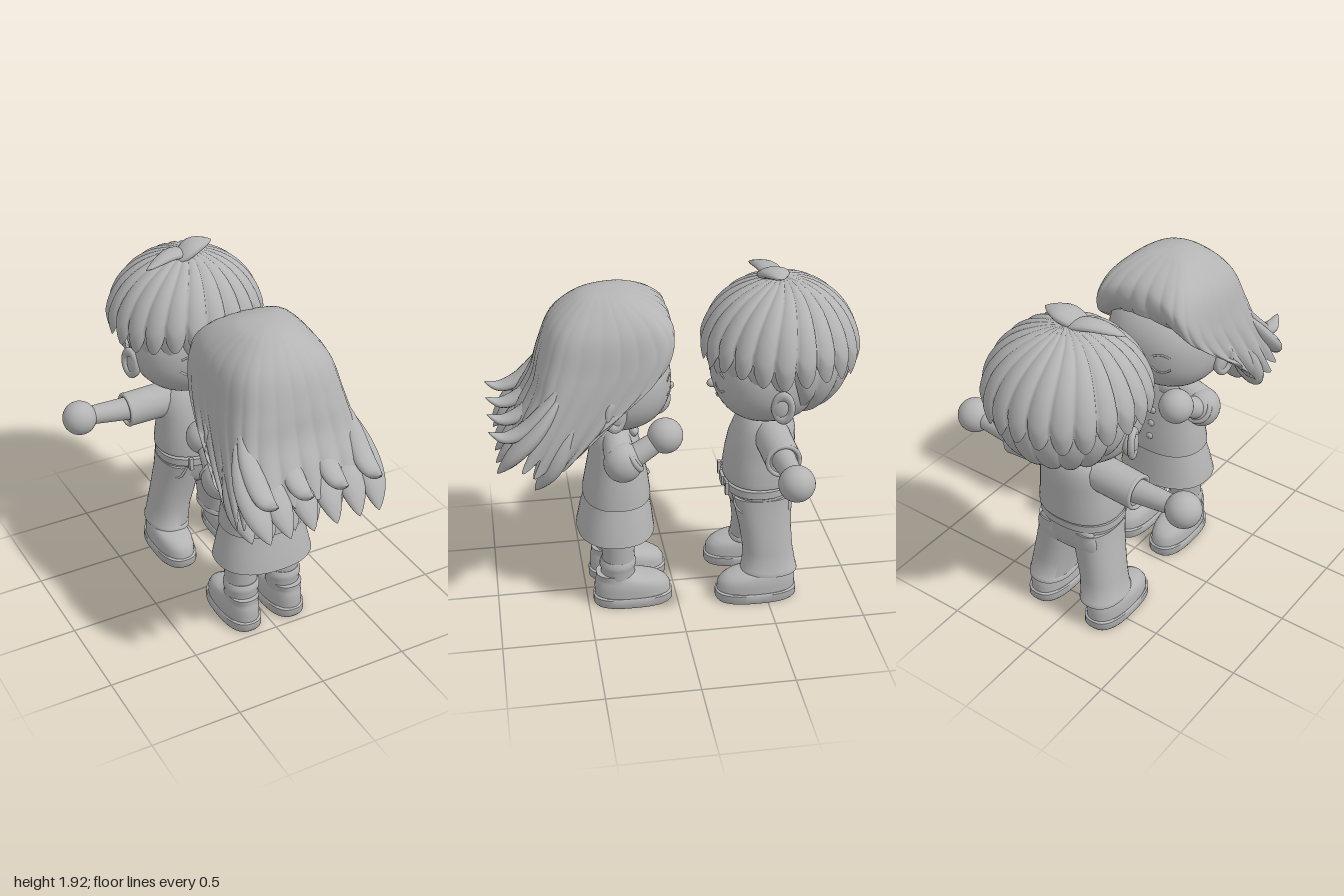
import * as THREE from 'three';
import { toCreasedNormals } from 'three/addons/utils/BufferGeometryUtils.js';

const V = (x, y, z) => new THREE.Vector3(x, y, z);
const clay = new THREE.MeshStandardMaterial({ color: 0xb4b4b4, side: THREE.DoubleSide });
clay.name = 'grey clay';

function add(parent, name, geo, pos = [0, 0, 0], scale = [1, 1, 1]) {
  const m = new THREE.Mesh(geo, clay);
  m.name = name;
  m.position.set(...pos);
  m.scale.set(...scale);
  parent.add(m);
  return m;
}

// Closed-loop surface: fn(u, v) with u around (0..1) and v along (0..1)
function grid(nu, nv, fn) {
  const pos = [], idx = [];
  for (let j = 0; j <= nv; j++)
    for (let i = 0; i < nu; i++) pos.push(...fn(i / nu, j / nv).toArray());
  for (let j = 0; j < nv; j++)
    for (let i = 0; i < nu; i++) {
      const a = j * nu + i, b = j * nu + (i + 1) % nu;
      idx.push(a, b, b + nu, a, b + nu, a + nu);
    }
  const g = new THREE.BufferGeometry();
  g.setAttribute('position', new THREE.Float32BufferAttribute(pos, 3));
  g.setIndex(idx);
  g.computeVertexNormals();
  return g;
}

// Catmull-Rom blend of four numbers
const cr = (a, b, c, d, t) =>
  b + 0.5 * t * (c - a + t * (2 * a - 5 * b + 4 * c - d + t * (3 * (b - c) + d - a)));

// Capped body from rounded sections [y, rx, rz, cx, cz]
function loft(rows, n = 2.3) {
  const first = rows[0], last = rows[rows.length - 1];
  const s = [[first[0], 0, 0, first[3], first[4]], ...rows, [last[0], 0, 0, last[3], last[4]]];
  return toCreasedNormals(grid(40, s.length - 1, (u, v) => {
    const [y, rx, rz, cx, cz] = s[Math.round(v * (s.length - 1))];
    const a = u * Math.PI * 2, x = Math.sin(a), z = Math.cos(a);
    const k = (Math.abs(x) ** n + Math.abs(z) ** n) ** (-1 / n);
    return V(cx + rx * x * k, y, cz + rz * z * k);
  }), 0.75);
}

// Flattened lock, pointed at both ends
function strand(points, w, h, side = V(1, 0, 0)) {
  const c = new THREE.CatmullRomCurve3(points.map(p => V(...p)));
  return grid(14, 20, (u, v) => {
    const n = c.getTangent(v).cross(side).normalize();
    const k = Math.max(0, Math.sin(Math.PI * v ** 0.85)) ** 0.75, a = u * Math.PI * 2;
    return c.getPoint(v).addScaledVector(side, w * k * Math.cos(a)).addScaledVector(n, h * k * Math.sin(a));
  });
}

function limb(parent, name, a, b, ra, rb) {
  const d = V(...b).sub(V(...a));
  const m = add(parent, name, new THREE.CylinderGeometry(rb, ra, d.length(), 28));
  m.position.copy(V(...a)).addScaledVector(d, 0.5);
  m.quaternion.setFromUnitVectors(V(0, 1, 0), d.normalize());
}
const ball = (r = 1) => new THREE.SphereGeometry(r, 32, 24);

// Head facing +z with ears, closed eyes, brows, nose and mouth
function makeHead(parent, name, [rx, ry, rz], pos, turn) {
  const head = new THREE.Group(), n = 2.3;
  head.name = name;
  head.position.set(...pos);
  head.rotation.y = turn;
  parent.add(head);
  add(head, 'face', grid(48, 32, (u, v) => {
    const a = u * Math.PI * 2, p = Math.PI * (1 - v);
    const d = V(Math.sin(p) * Math.sin(a), Math.cos(p), Math.sin(p) * Math.cos(a));
    const k = (Math.abs(d.x) ** n + Math.abs(d.y) ** n + Math.abs(d.z) ** n) ** (-1 / n);
    return V(d.x * rx * k, d.y * ry * k, d.z * rz * k);
  }));
  const front = (x, y) => rz * Math.max(0, 1 - Math.abs(x / rx) ** n - Math.abs(y / ry) ** n) ** (1 / n);
  const arc = (x, y, w, sag) => new THREE.TubeGeometry(new THREE.CatmullRomCurve3(
    [-1, -0.5, 0, 0.5, 1].map(t => V(x + t * w, y + sag * t * t, front(x + t * w, y + sag * t * t) - 0.002))), 16, 0.006, 6);
  for (const s of [-1, 1]) {
    add(head, 'closedEye', arc(s * 0.14, -0.06, 0.05, 0.025));
    add(head, 'eyebrow', arc(s * 0.14, 0.05, 0.045, -0.015));
    add(head, 'ear', ball(), [s * (rx - 0.005), -0.075, -0.02], [0.035, 0.08, 0.055]);
    const rim = add(head, 'earRim', new THREE.TorusGeometry(0.045, 0.018, 12, 28), [s * (rx + 0.015), -0.07, -0.025], [1, 1.5, 1]);
    rim.rotation.y = Math.PI / 2 - s * 0.35;
  }
  add(head, 'nose', ball(), [0, -0.08, rz - 0.008], [0.026, 0.024, 0.032]);
  add(head, 'mouth', ball(), [0, -0.15, front(0, -0.15)], [0.022, 0.012, 0.01]);
}

const makeShoe = (x, back, dir, w, len) => {
  const row = (y, k, f, m) => [y, w * k, len * f, x, back + dir * m * len];
  return [
    loft([row(0, 1, 0.48, 0.5), row(0.012, 1.06, 0.5, 0.5), row(0.055, 1.06, 0.5, 0.5), row(0.062, 1, 0.48, 0.5)], 2.6),
    loft([row(0.055, 1, 0.48, 0.5), row(0.1, 1, 0.478, 0.495), row(0.13, 0.97, 0.455, 0.475), row(0.152, 0.91, 0.41, 0.44),
      row(0.166, 0.85, 0.34, 0.38), row(0.176, 0.82, 0.27, 0.31), row(0.2, 0.82, 0.23, 0.27)])];
};

// Domed hair with a slight swirl and pointed, uneven locks around the hem
function domeHair([rx, ry, rz], c, locks, hem, tip, groove) {
  return grid(locks * 12, 36, (u, v) => {
    const a = u * Math.PI * 2, t = 1 - v, b = a + 0.3 * v * v;
    const lobe = Math.abs(Math.cos(a * locks / 2)) ** 0.7;
    const p = Math.max(t, 0.001) * (hem(a) - tip * (1 - lobe) + 0.04 * Math.sin(a * 5 + 1));
    const k = 1 - groove * (1 - lobe) * Math.min(1, t * 1.3) - 0.04 * Math.max(0, t - 0.85) / 0.15;
    return V(c[0] + rx * k * Math.sin(p) * Math.sin(b), c[1] + ry * k * Math.cos(p), c[2] + rz * k * Math.sin(p) * Math.cos(b));
  });
}

function makeBoy() {
  const g = new THREE.Group();
  g.name = 'boy';
  makeHead(g, 'boyHead', [0.35, 0.265, 0.29], [0, 1.34, -0.5], 0);
  // Hair: upper layer, longer nape layer and crown tuft
  add(g, 'upperHair', domeHair([0.445, 0.41, 0.43], [0, 1.45, -0.575], 22, a => 1.69 - 0.05 * Math.cos(a), 0.26, 0.05));
  add(g, 'napeHair', domeHair([0.39, 0.36, 0.4], [0, 1.44, -0.575], 18,
    a => 1.76 + 1.05 * THREE.MathUtils.smoothstep(-Math.cos(a), -0.1, 0.55), 0.3, 0.045));
  add(g, 'napeFill', ball(), [0, 1.35, -0.62], [0.32, 0.25, 0.27]);
  add(g, 'tuftRight', strand([[0.06, 1.82, -0.56], [-0.1, 1.868, -0.52], [-0.28, 1.835, -0.46]], 0.06, 0.028, V(0, 0, 1)));
  add(g, 'tuftLeft', strand([[-0.09, 1.82, -0.5], [0.03, 1.885, -0.53], [0.15, 1.895, -0.54]], 0.078, 0.034, V(0, 0, 1)));
  // Shirt, neck and arms
  add(g, 'neck', new THREE.CylinderGeometry(0.1, 0.11, 0.16, 28), [0, 1.07, -0.52]);
  add(g, 'shirt', loft([[0.69, 0.215, 0.18, 0, -0.48], [0.7, 0.235, 0.196, 0, -0.48], [0.73, 0.237, 0.196, 0, -0.48], [0.82, 0.222, 0.19, 0, -0.485],
    [0.92, 0.212, 0.18, 0, -0.495], [1.0, 0.205, 0.163, 0, -0.51], [1.05, 0.18, 0.143, 0, -0.515], [1.085, 0.14, 0.12, 0, -0.518], [1.1, 0.1, 0.1, 0, -0.52]]));
  add(g, 'collar', new THREE.TorusGeometry(0.115, 0.012, 10, 36), [0, 1.085, -0.515]).rotation.x = Math.PI / 2 + 0.15;
  for (const s of [-1, 1]) {
    limb(g, 'sleeve', [s * 0.1, 0.99, -0.52], [s * 0.4, 0.975, -0.53], 0.1, 0.096);
    const cuff = add(g, 'sleeveCuff', new THREE.TorusGeometry(0.086, 0.012, 10, 32), [s * 0.4, 0.975, -0.53]);
    cuff.rotation.y = Math.PI / 2;
    limb(g, 'arm', [s * 0.36, 0.98, -0.53], [s * 0.64, 1.0, -0.535], 0.068, 0.05);
    add(g, 'hand', ball(0.095), [s * 0.68, 1.0, -0.535]);
    // Trouser leg and shoe
    add(g, 'trouserLeg', loft([[0.155, 0.108, 0.145, s * 0.175, -0.525], [0.162, 0.12, 0.16, s * 0.175, -0.522], [0.185, 0.12, 0.157, s * 0.175, -0.522], [0.19, 0.116, 0.152, s * 0.175, -0.522],
      [0.3, 0.115, 0.14, s * 0.16, -0.515], [0.42, 0.119, 0.145, s * 0.136, -0.503], [0.52, 0.118, 0.157, s * 0.118, -0.493], [0.62, 0.115, 0.17, s * 0.11, -0.485]]));
    const [sole, upper] = makeShoe(s * 0.195, -0.675, 1, 0.108, 0.46);
    add(g, 'shoeSole', sole);
    add(g, 'shoeUpper', upper);
    add(g, 'pocketSeam', new THREE.TubeGeometry(new THREE.CatmullRomCurve3(
      [V(s * 0.13, 0.63, -0.32), V(s * 0.17, 0.56, -0.335), V(s * 0.222, 0.52, -0.44)]), 16, 0.007, 6));
    add(g, 'backPocket', new THREE.SphereGeometry(1, 24, 16), [s * 0.11, 0.56, -0.62], [0.085, 0.1, 0.033]);
    add(g, 'beltLoop', new THREE.BoxGeometry(0.025, 0.075, 0.02), [s * 0.12, 0.665, -0.285]);
  }
  add(g, 'trouserHips', loft([[0.45, 0.12, 0.1, 0, -0.5], [0.5, 0.19, 0.15, 0, -0.495], [0.56, 0.225, 0.172, 0, -0.485], [0.66, 0.222, 0.18, 0, -0.48]]));
  add(g, 'belt', loft([[0.632, 0.22, 0.18, 0, -0.473], [0.642, 0.234, 0.194, 0, -0.473], [0.685, 0.234, 0.194, 0, -0.473], [0.695, 0.22, 0.18, 0, -0.473]]));
  add(g, 'buckle', new THREE.BoxGeometry(0.075, 0.055, 0.016), [0, 0.664, -0.278]);
  return g;
}

// Hair guide paths below the crown: back, back side, temple, front side, brow
const crown = V(0, 1.855, 0.36);
const guides = [
  [[0, 1.82, 0.51], [0, 1.7, 0.645], [0, 1.52, 0.715], [0, 1.38, 0.75], [0, 1.25, 0.82], [0, 1.1, 0.89]],
  [[0.115, 1.815, 0.47], [0.225, 1.69, 0.575], [0.28, 1.5, 0.645], [0.315, 1.35, 0.7], [0.345, 1.18, 0.79], [0.36, 1.03, 0.87]],
  [[0.165, 1.815, 0.34], [0.285, 1.69, 0.31], [0.335, 1.5, 0.32], [0.36, 1.33, 0.41], [0.38, 1.15, 0.53], [0.385, 0.98, 0.66]],
  [[0.13, 1.828, 0.23], [0.225, 1.745, 0.1], [0.27, 1.64, 0.04], [0.305, 1.5, 0.08], [0.335, 1.4, 0.2], [0.365, 1.3, 0.36]],
  [[0, 1.842, 0.24], [0, 1.8, 0.12], [0, 1.75, 0.05], [0, 1.7, 0.022], [0, 1.65, 0.015], [0, 1.6, 0.025]],
].map(path => {
  const rest = path.map(p => V(...p)), shoulder = crown.clone().lerp(rest[0], 0.45);
  shoulder.y = crown.y - 0.2 * (crown.y - rest[0].y);
  return new THREE.CatmullRomCurve3([crown, shoulder, ...rest]);
});

function flowingHair() {
  const knot = (i, t) => {
    const m = (i + 8) % 8, p = guides[m <= 4 ? m : 8 - m].getPoint(t);
    if (m > 4) p.x *= -1;
    return p;
  };
  return grid(256, 44, (u, v) => {
    const U = u * 8, i = Math.floor(U), f = U - i;
    const lobe = Math.abs(Math.cos(u * Math.PI * 26)) ** 0.7;
    const isBack = Math.max(0, Math.cos(u * Math.PI * 2) + 0.3);
    const t = (1 - v) * (1 - 0.12 * isBack * (1 - lobe));
    const [a, b, c, d] = [-1, 0, 1, 2].map(o => knot(i + o, t));
    const p = V(cr(a.x, b.x, c.x, d.x, f), cr(a.y, b.y, c.y, d.y, f), cr(a.z, b.z, c.z, d.z, f));
    return p.lerp(V(0, Math.min(p.y, 1.4), 0.4), 0.08 * t ** 3 * (1 - lobe));
  });
}

function makeGirl() {
  const g = new THREE.Group();
  g.name = 'girl';
  makeHead(g, 'girlHead', [0.325, 0.27, 0.305], [0, 1.345, 0.32], Math.PI);
  // Hair: swept cap, filling behind the neck and three rows of loose locks
  add(g, 'hairCap', flowingHair());
  add(g, 'hairFill', ball(), [0, 1.27, 0.57], [0.32, 0.22, 0.18]).rotation.x = -0.5;
  for (const x of [-0.3, -0.1, 0.1, 0.3])
    add(g, 'flickedLock', strand([[x * 0.9, 1.5, 0.58], [x, 1.33, 0.7], [x, 1.205, 0.83], [x, 1.18, 0.92], [x * 0.97, 1.215, 0.995]], 0.058, 0.035));
  for (const x of [-0.33, -0.21, -0.07, 0.07, 0.21, 0.33])
    add(g, 'middleLock', strand([[x * 0.9, 1.42, 0.6], [x, 1.22, 0.75], [x, 1.08, 0.88], [x * 0.95, 0.98, 0.965]], 0.08, 0.045));
  for (const x of [-0.31, -0.19, -0.06, 0.06, 0.19, 0.31])
    add(g, 'lowerLock', strand([[x * 0.9, 1.38, 0.5], [x, 1.14, 0.61], [x * 1.04, 0.98, 0.69], [x, 0.86, 0.775]], 0.085, 0.06));
  // Blouse, collar, buttons and skirt
  add(g, 'neck', new THREE.CylinderGeometry(0.09, 0.1, 0.14, 28), [0, 1.08, 0.33]);
  add(g, 'blouse', loft([[0.635, 0.21, 0.165, 0, 0.315], [0.64, 0.237, 0.186, 0, 0.315], [0.67, 0.235, 0.184, 0, 0.315], [0.77, 0.222, 0.168, 0, 0.312],
    [0.88, 0.205, 0.147, 0, 0.312], [0.98, 0.19, 0.128, 0, 0.315], [1.04, 0.16, 0.115, 0, 0.32], [1.08, 0.12, 0.1, 0, 0.325], [1.095, 0.09, 0.09, 0, 0.33]]));
  for (const y of [0.74, 0.82, 0.9])
    add(g, 'button', ball(), [0, y, 0.312 - (0.178 - (y - 0.7) * 0.17)], [0.02, 0.02, 0.012]);
  add(g, 'skirt', loft([[0.43, 0.25, 0.19, 0, 0.325], [0.43, 0.277, 0.216, 0, 0.325], [0.45, 0.273, 0.212, 0, 0.325], [0.55, 0.25, 0.196, 0, 0.32], [0.66, 0.218, 0.17, 0, 0.315]]));
  for (const s of [-1, 1]) {
    add(g, 'collar', ball(), [s * 0.065, 1.045, 0.225], [0.075, 0.035, 0.03]).rotation.z = s * 0.3;
    limb(g, 'shoulder', [s * 0.1, 1.02, 0.32], [s * 0.24, 0.97, 0.315], 0.075, 0.085);
    add(g, 'puffSleeve', ball(), [s * 0.245, 0.95, 0.3], [0.095, 0.11, 0.105]);
    const cuff = add(g, 'sleeveCuff', new THREE.TorusGeometry(0.072, 0.016, 10, 32), [s * 0.245, 0.975, 0.245]);
    cuff.rotation.x = 0.53;
    limb(g, 'arm', [s * 0.245, 0.95, 0.29], [s * 0.22, 1.06, 0.1], 0.066, 0.055);
    add(g, 'hand', ball(0.095), [s * 0.22, 1.08, 0.072]);
    // Leg, slouched sock and shoe
    add(g, 'leg', new THREE.CylinderGeometry(0.096, 0.088, 0.3, 28), [s * 0.13, 0.36, 0.325]);
    add(g, 'sock', loft([[0.15, 0.085, 0.088, s * 0.13, 0.33], [0.19, 0.095, 0.096, s * 0.13, 0.33], [0.22, 0.092, 0.093, s * 0.13, 0.33], [0.24, 0.099, 0.1, s * 0.13, 0.33],
      [0.265, 0.1, 0.101, s * 0.13, 0.328], [0.285, 0.09, 0.091, s * 0.13, 0.327]], 2));
    const [sole, upper] = makeShoe(s * 0.135, 0.47, -1, 0.104, 0.445);
    add(g, 'shoeSole', sole);
    add(g, 'shoeUpper', upper);
  }
  return g;
}

export function createModel() {
  const model = new THREE.Group();
  model.name = 'couple';
  model.add(makeBoy(), makeGirl());
  return model;
}
